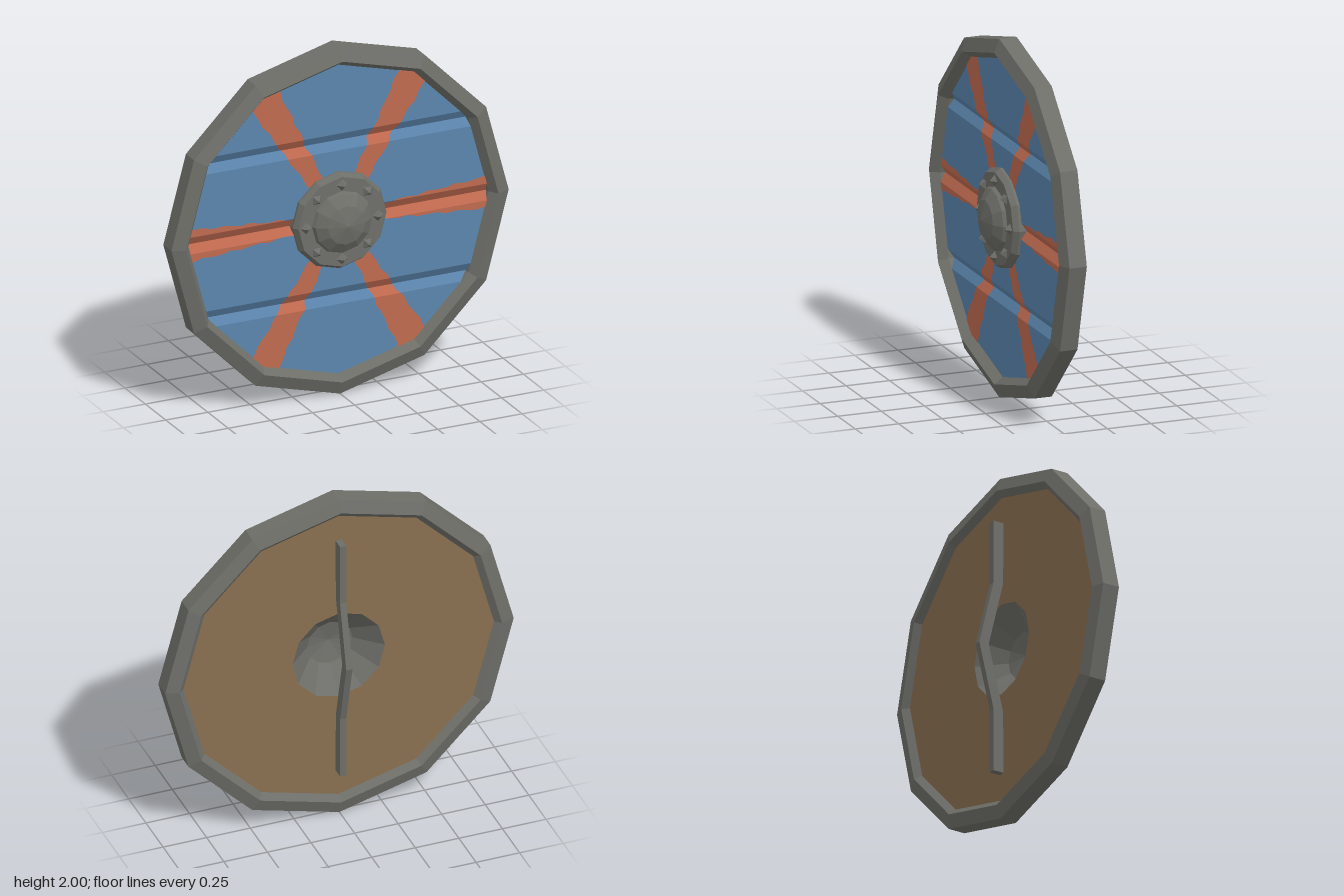
import * as THREE from 'three';

const SIDES = 12;
const FRONT_Z = 0.05, BACK_Z = -0.02;
const GROOVES = [-0.443, 0, 0.443], GROOVE_HALF = 0.048, GROOVE_DEPTH = 0.03;

// Split vertices so every facet is flat
function facet(geometry) {
  const g = geometry.index ? geometry.toNonIndexed() : geometry;
  g.computeVertexNormals();
  return g;
}

// Faceted ring or dome around the z axis from [radius, z] points
function turned(points) {
  const g = new THREE.LatheGeometry(points.map(([r, z]) => new THREE.Vector2(r, z)), SIDES);
  return facet(g.rotateX(Math.PI / 2));
}

// Depth of the planked face at height y
function faceZ(y) {
  const d = Math.min(...GROOVES.map((g) => Math.abs(y - g)));
  return FRONT_Z - GROOVE_DEPTH * Math.max(0, 1 - d / GROOVE_HALF);
}

// Keep the part of a convex polygon where sign * (y - limit) >= 0
function clip(poly, limit, sign) {
  const out = [];
  poly.forEach((a, i) => {
    const b = poly[(i + 1) % poly.length];
    const da = sign * (a[1] - limit), db = sign * (b[1] - limit);
    if (da >= 0) out.push(a);
    if (da * db < 0) {
      const t = da / (da - db);
      out.push([a[0] + (b[0] - a[0]) * t, limit]);
    }
  });
  return out;
}

// Drape convex polygons over the planks and their grooves
function drape(polys, lift) {
  const levels = [-1, ...GROOVES.flatMap((g) => [g - GROOVE_HALF, g, g + GROOVE_HALF]), 1];
  const pos = [];
  for (const poly of polys) {
    for (let i = 0; i < levels.length - 1; i++) {
      const p = clip(clip(poly, levels[i], 1), levels[i + 1], -1);
      for (let k = 1; k < p.length - 1; k++) {
        for (const [x, y] of [p[0], p[k], p[k + 1]]) pos.push(x, y, faceZ(y) + lift);
      }
    }
  }
  const g = new THREE.BufferGeometry();
  g.setAttribute('position', new THREE.Float32BufferAttribute(pos, 3));
  return facet(g);
}

const polar = (r, a) => [r * Math.cos(a), r * Math.sin(a)];

export function createModel() {
  const colour = (name, hex) => {
    const m = new THREE.MeshStandardMaterial({ color: hex });
    m.name = name;
    return m;
  };
  const iron = colour('iron grey', 0x6e6e69);
  const blue = colour('painted blue', 0x5b85ad);
  const orange = colour('painted orange', 0xc06a50);
  const wood = colour('bare wood', 0x8a7050);

  const shield = new THREE.Group();
  shield.name = 'shield';
  shield.position.y = 1;
  const add = (name, geometry, material) => {
    const mesh = new THREE.Mesh(geometry, material);
    mesh.name = name;
    shield.add(mesh);
    return mesh;
  };

  // Bevelled rim
  add('rim', turned([
    [1, -0.03], [1, 0.07], [0.925, 0.1], [0.89, 0.05], [0.885, 0.01],
    [0.89, BACK_Z], [0.925, -0.053], [1, -0.03],
  ]), iron);

  // Planked front, made of sectors around the boss opening
  const step = (2 * Math.PI) / SIDES;
  const sectors = [];
  for (let i = 0; i < SIDES; i++) {
    const a = i * step, b = a + step;
    sectors.push([polar(0.235, a), polar(0.93, a), polar(0.93, b), polar(0.235, b)]);
  }
  add('frontPlanks', drape(sectors, 0), blue);

  // Six widening brush strokes with ragged edges
  const strokes = [];
  const SEGMENTS = 12;
  for (let s = 0; s < 6; s++) {
    const a = (s * Math.PI) / 3;
    const half = (i, side) => 0.043 + 0.052 * (i / SEGMENTS)
      + 0.007 * Math.sin(i * 2.3 + s * 1.7 + side * 2.1);
    const at = (i, side) => {
      const r = 0.24 + (0.68 * i) / SEGMENTS, h = side * half(i, side);
      return [r * Math.cos(a) - h * Math.sin(a), r * Math.sin(a) + h * Math.cos(a)];
    };
    for (let i = 0; i < SEGMENTS; i++) {
      strokes.push([at(i, -1), at(i + 1, -1), at(i + 1, 1), at(i, 1)]);
    }
  }
  add('paintedStrokes', drape(strokes, 0.003), orange);

  // Wooden back with a round opening
  add('backBoard', turned([[0.265, BACK_Z], [0.93, BACK_Z]]), wood);

  // Domed boss on a bevelled flange, hollow behind
  add('boss', turned([
    [0.278, 0.02], [0.278, 0.065], [0.258, 0.095], [0.178, 0.095],
    [0.168, 0.115], [0.11, 0.152], [0, 0.178],
  ]), iron);
  add('bossHollow', turned([[0, 0.14], [0.13, 0.11], [0.268, BACK_Z]]), iron);

  // Pyramid studs
  const studGeometry = facet(new THREE.ConeGeometry(0.035, 0.034, 4).rotateX(Math.PI / 2));
  for (let i = 0; i < 8; i++) {
    const a = (i * Math.PI) / 4;
    const stud = add('stud', studGeometry, iron);
    stud.position.set(...polar(0.213, a), 0.11);
    stud.rotation.z = a;
  }

  // Bent grip bar, drawn as a side profile of [z, y]
  const profile = [
    [-0.015, 0.735], [-0.085, 0.735], [-0.085, 0.37], [-0.175, 0], [-0.085, -0.37],
    [-0.085, -0.735], [-0.015, -0.735], [-0.025, -0.37], [-0.115, 0], [-0.025, 0.37],
  ];
  const grip = new THREE.ExtrudeGeometry(
    new THREE.Shape(profile.map(([z, y]) => new THREE.Vector2(z, y))),
    { depth: 0.036, bevelEnabled: false },
  );
  add('grip', facet(grip.translate(0, 0, -0.018).rotateY(-Math.PI / 2)), iron);

  const model = new THREE.Group();
  model.name = 'roundShield';
  model.add(shield);
  return model;
}
